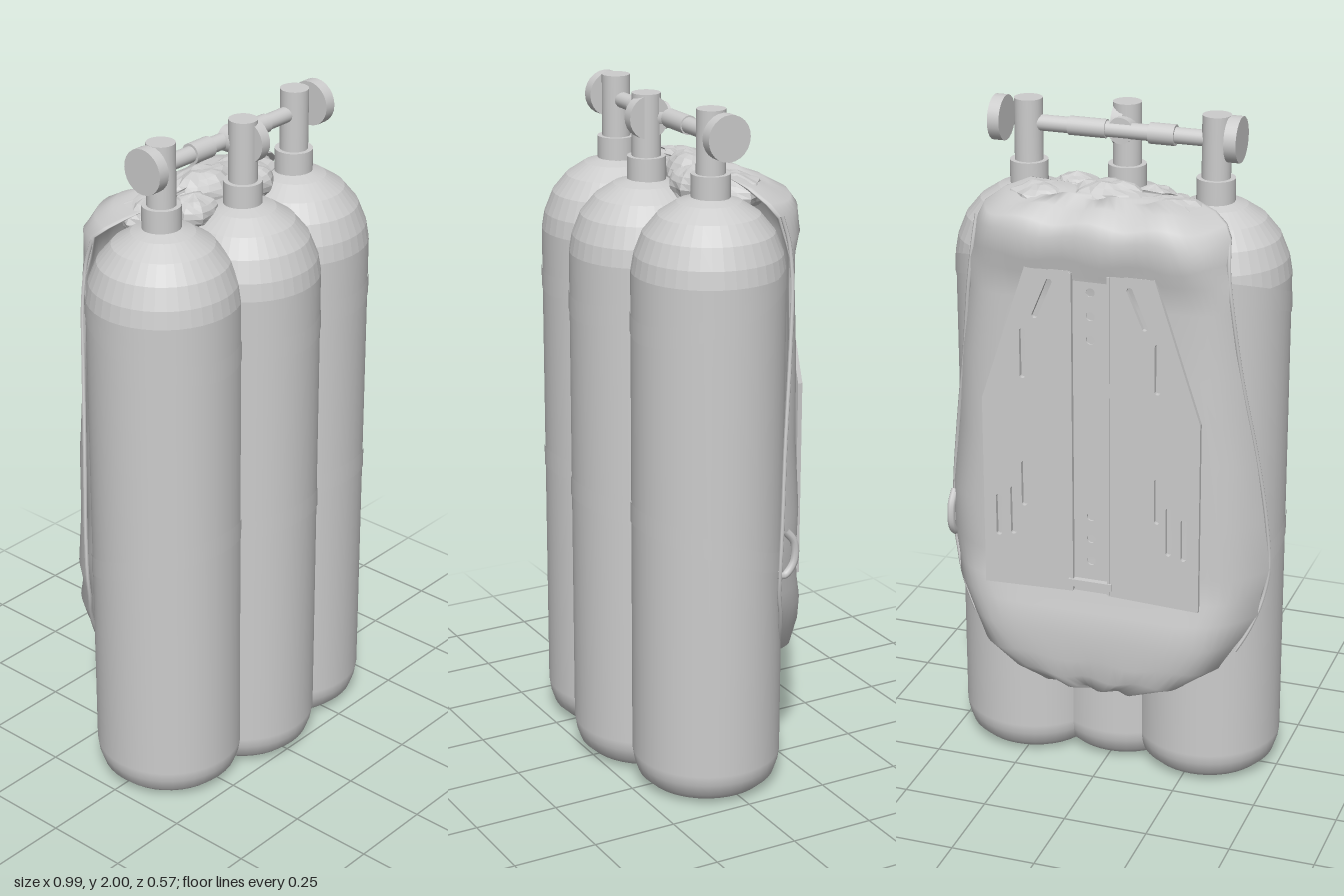
import * as THREE from 'three';

export function createModel() {
  const model = new THREE.Group();
  const grey = new THREE.MeshStandardMaterial({ color: 0xcccccc });
  grey.name = 'plain grey';

  const add = (name, geometry, x = 0, y = 0, z = 0, parent = model) => {
    const mesh = new THREE.Mesh(geometry, grey);
    mesh.name = name;
    mesh.position.set(x, y, z);
    parent.add(mesh);
    return mesh;
  };
  const flat = (geometry) => {
    const g = geometry.toNonIndexed();
    g.computeVertexNormals();
    return g;
  };
  const cylinderX = (r, length, sides = 24) =>
    new THREE.CylinderGeometry(r, r, length, sides).rotateZ(Math.PI / 2);
  const lathe = (points, sides) =>
    new THREE.LatheGeometry(points.map(([r, y]) => new THREE.Vector2(r, y)), sides);

  // Three gas cylinders, each with body, faceted shoulder, straps and valve
  const R = 0.2165;
  const bodyProfile = [[0, 0], [0.145, 0.002], [0.175, 0.012], [0.2, 0.035], [0.212, 0.07], [R, 0.1], [R, 1.55]];
  const domeProfile = [[R, 1.55], [0.208, 1.6], [0.184, 1.66], [0.143, 1.71], [0.09, 1.745], [0.05, 1.757], [0, 1.757]];
  const band = (slope) => {
    const g = new THREE.CylinderGeometry(R + 0.0025, R + 0.0025, 0.06, 40, 1, true);
    const p = g.attributes.position;
    for (let i = 0; i < p.count; i++) p.setY(i, p.getY(i) + slope * p.getZ(i));
    return g;
  };
  for (const [side, x, z] of [['right', -0.277, 0.018], ['middle', 0, 0.068], ['left', 0.277, 0.018]]) {
    const tank = new THREE.Group();
    tank.name = side + 'Cylinder';
    tank.position.set(x, 0, z);
    model.add(tank);
    add('cylinderBody', lathe(bodyProfile, 40), 0, 0, 0, tank);
    add('cylinderShoulder', flat(lathe(domeProfile, 40)), 0, 0, 0, tank);
    add('upperBand', band(-0.38), 0, 1.48, 0, tank);
    add('lowerBand', band(0.38), 0, 0.765, 0, tank);
    add('valveCollar', new THREE.CylinderGeometry(0.055, 0.055, 0.075, 24), 0, 1.784, -0.005, tank);
    add('valvePost', new THREE.CylinderGeometry(0.041, 0.041, 0.19, 24), 0, 1.905, -0.005, tank);
  }

  // Manifold bar with thicker sleeves, and hand wheels
  add('manifoldBar', cylinderX(0.023, 0.5), 0, 1.93, 0.012);
  add('rightSleeve', cylinderX(0.03, 0.075), -0.122, 1.93, 0.012);
  add('leftSleeve', cylinderX(0.027, 0.11), 0.098, 1.93, 0.012);
  add('manifoldTee', new THREE.CylinderGeometry(0.038, 0.038, 0.07, 20).rotateX(Math.PI / 2), 0, 1.93, 0.035);
  add('rightHandWheel', cylinderX(0.065, 0.035), -0.332, 1.935, 0.012);
  add('leftHandWheel', cylinderX(0.065, 0.035), 0.36, 1.935, 0.012);
  add('middleHandWheel', cylinderX(0.062, 0.033), 0.017, 1.935, 0.07);

  // Buoyancy wing: rows of [height, half width, back depth, edge depth, thickness]
  const rows = [
    [0.3, 0.16, -0.25, -0.21, 0.03], [0.34, 0.28, -0.268, -0.19, 0.06], [0.4, 0.37, -0.278, -0.165, 0.08],
    [0.48, 0.425, -0.28, -0.14, 0.09], [0.56, 0.46, -0.274, -0.12, 0.09], [0.62, 0.476, -0.25, -0.105, 0.07],
    [0.7, 0.488, -0.245, -0.1, 0.06], [0.85, 0.48, -0.245, -0.11, 0.06], [1.05, 0.455, -0.245, -0.13, 0.06],
    [1.3, 0.415, -0.246, -0.165, 0.06], [1.5, 0.39, -0.247, -0.185, 0.06], [1.58, 0.38, -0.255, -0.185, 0.07],
    [1.63, 0.375, -0.279, -0.18, 0.1], [1.7, 0.37, -0.284, -0.16, 0.13], [1.735, 0.355, -0.265, -0.13, 0.15],
    [1.765, 0.31, -0.215, -0.1, 0.14], [1.785, 0.24, -0.165, -0.07, 0.1],
  ];
  const half = 32, ring = half * 2;
  const vertices = [], faces = [];
  rows.forEach(([y, w, back, edge, thick], j) => {
    for (let i = 0; i < ring; i++) {
      const front = i > half;
      const u = -Math.cos((i / half) * Math.PI);
      const a = Math.abs(u);
      const pucker = a > 0.7 ? 0.006 * Math.sin(j * 2.7 + u * 9) : 0;
      const z = back + (edge - back) * a ** 7 + (front ? thick * Math.sqrt(1 - u * u) : 0);
      vertices.push(u * w + Math.sign(u) * pucker, y + 0.008 * Math.sin(u * 11 + j) * (j > 11 || j < 3), z);
      if (j < rows.length - 1) {
        const n = (i + 1) % ring, p = j * ring, q = p + ring;
        faces.push(p + i, q + i, q + n, p + i, q + n, p + n);
      }
    }
  });
  const top = (rows.length - 1) * ring;
  for (let i = 1; i < ring - 1; i++) faces.push(0, i, i + 1, top, top + i + 1, top + i);
  const wing = new THREE.BufferGeometry();
  wing.setAttribute('position', new THREE.Float32BufferAttribute(vertices, 3));
  wing.setIndex(faces);
  wing.computeVertexNormals();
  add('buoyancyWing', wing);

  // Piping along the wing's edges
  for (const s of [-1, 1]) {
    const path = rows.slice(0, 14).map(([y, w, , edge]) => new THREE.Vector3(s * w, y, edge));
    add('wingPiping', new THREE.TubeGeometry(new THREE.CatmullRomCurve3(path), 60, 0.006, 6));
  }

  // Crumpled cloth lying between the cylinder tops
  const fold = (x, y, z, a, b, c, seed) => {
    const g = new THREE.SphereGeometry(1, 16, 10);
    const p = g.attributes.position;
    for (let i = 0; i < p.count; i++) {
      const k = 1 + 0.1 * Math.sin(p.getX(i) * 6 + seed) * Math.cos(p.getZ(i) * 7 + p.getY(i) * 3);
      p.setXYZ(i, p.getX(i) * a * k, p.getY(i) * b * k, p.getZ(i) * c * k);
    }
    add('clothFold', flat(g), x, y, z);
  };
  fold(0, 1.755, -0.09, 0.12, 0.06, 0.08, 1);
  fold(-0.19, 1.735, -0.1, 0.1, 0.055, 0.09, 2);
  fold(0.19, 1.74, -0.1, 0.11, 0.055, 0.09, 3);
  fold(-0.11, 1.74, -0.02, 0.07, 0.05, 0.06, 4);
  fold(0.12, 1.75, -0.02, 0.08, 0.055, 0.06, 5);

  // Back plate: two slotted halves beside a recessed channel
  const slot = (x, y, length, tilt = 0) => {
    const r = 0.009, pts = [];
    for (let i = 0; i < 16; i++) {
      const a = (i / 16) * Math.PI * 2 + 0.01;
      const px = Math.cos(a) * r, py = Math.sin(a) * r + Math.sign(Math.sin(a)) * (length / 2 - r);
      pts.push(new THREE.Vector2(x + px * Math.cos(tilt) - py * Math.sin(tilt), y + px * Math.sin(tilt) + py * Math.cos(tilt)));
    }
    return new THREE.Path(pts);
  };
  const extrude = (shape, depth) => new THREE.ExtrudeGeometry(shape, { depth, bevelEnabled: false });
  for (const s of [-1, 1]) {
    const shape = new THREE.Shape(
      [[0.055, 0.62], [0.325, 0.61], [0.325, 1.19], [0.19, 1.6], [0.055, 1.6]].map(([x, y]) => new THREE.Vector2(s * x, y)));
    shape.holes.push(
      slot(s * 0.14, 1.51, 0.13, s * 0.4), slot(s * 0.2, 1.34, 0.15), slot(s * 0.2, 0.94, 0.14),
      slot(s * 0.235, 0.85, 0.15), slot(s * 0.28, 0.83, 0.13));
    add('backPlateHalf', extrude(shape, 0.014), 0, 0, -0.264);
    add('channelWall', new THREE.BoxGeometry(0.008, 0.97, 0.02), s * 0.056, 1.11, -0.258);
  }
  const channel = new THREE.Shape([[-0.055, 0.62], [0.055, 0.62], [0.055, 1.6], [-0.055, 1.6]]
    .map(([x, y]) => new THREE.Vector2(x, y)));
  for (const y of [0.72, 0.79, 0.86, 1.4, 1.47, 1.54])
    channel.holes.push(new THREE.Path().absarc(0, y, 0.013, 0, Math.PI * 2, true));
  add('backPlateChannel', extrude(channel, 0.006), 0, 0, -0.254);
  add('channelCrossBar', new THREE.BoxGeometry(0.13, 0.022, 0.02), 0, 0.65, -0.262);

  // Short hose loop tucked against the left edge of the wing
  const loop = [[-0.12, 0.82], [-0.15, 0.78], [-0.15, 0.72], [-0.12, 0.685], [-0.095, 0.69]]
    .map(([z, y]) => new THREE.Vector3(0.478, y, z));
  add('hoseLoop', new THREE.TubeGeometry(new THREE.CatmullRomCurve3(loop), 24, 0.012, 8));

  return model;
}
